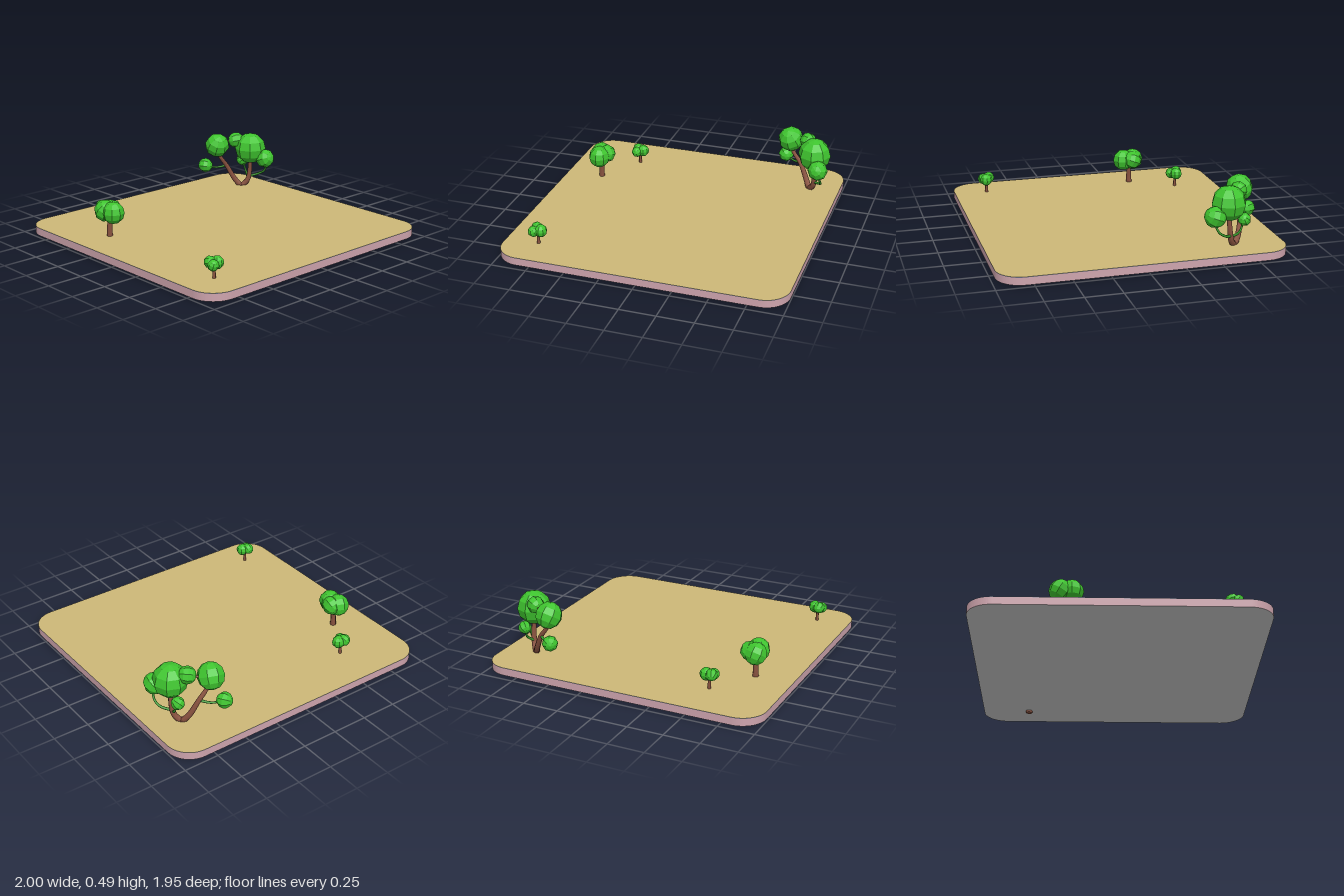
import * as THREE from 'three';

const material = (color, extra = {}) => new THREE.MeshStandardMaterial({ color, ...extra });

export function createModel() {
  const model = new THREE.Group();
  const leaf = material(0x3fc52f, { flatShading: true });
  const twigGreen = material(0x3a9a2c);
  const bark = material(0x8a5340);
  const sand = material(0xcdb878);
  const pink = material(0xcfa5ae);
  const rimBlue = material(0x7d8299);
  const grey = material(0xcccccc);

  const add = (parent, name, geometry, mat) => {
    const mesh = new THREE.Mesh(geometry, mat);
    mesh.name = name;
    parent.add(mesh);
    return mesh;
  };

  // Rounded ground outline, drawn in x and -z
  const W = 1, D = 0.975, R = 0.17;
  const outline = new THREE.Shape();
  outline.moveTo(-W + R, -D);
  outline.lineTo(W - R, -D);
  outline.absarc(W - R, -D + R, R, -Math.PI / 2, 0);
  outline.absarc(W - R, D - R, R, 0, Math.PI / 2);
  outline.absarc(-W + R, D - R, R, Math.PI / 2, Math.PI);
  outline.absarc(-W + R, -D + R, R, Math.PI, Math.PI * 1.5);

  const ground = new THREE.Group();
  ground.name = 'ground';
  model.add(ground);
  const layer = (name, y, height, capMat, sideMat) => {
    const g = new THREE.ExtrudeGeometry(outline, { depth: height, bevelEnabled: false, curveSegments: 12 });
    g.rotateX(-Math.PI / 2);
    g.translate(0, y, 0);
    add(ground, name, g, [capMat, sideMat]);
  };
  layer('slabEdge', 0.015, 0.051, grey, pink);
  layer('sandTop', 0.066, 0.004, sand, rimBlue);

  // Branch: a tube whose rings shrink from r0 to r1
  const branch = (parent, name, points, r0, r1, mat = bark) => {
    const curve = new THREE.CatmullRomCurve3(points.map(p => new THREE.Vector3(...p)));
    const rings = 10, sides = 7;
    const g = new THREE.TubeGeometry(curve, rings, r0, sides);
    const pos = g.attributes.position, v = new THREE.Vector3();
    for (let i = 0; i <= rings; i++) {
      const c = curve.getPointAt(i / rings);
      const k = THREE.MathUtils.lerp(1, r1 / r0, i / rings);
      for (let j = 0; j <= sides; j++) {
        const n = i * (sides + 1) + j;
        v.fromBufferAttribute(pos, n).sub(c).multiplyScalar(k).add(c);
        pos.setXYZ(n, v.x, v.y, v.z);
      }
    }
    add(parent, name, g, mat);
  };

  // Foliage: coarse balls, each turned a little differently
  const foliage = (parent, balls) => balls.forEach(([x, y, z, r], i) => {
    const ball = add(parent, 'foliage', new THREE.SphereGeometry(r, 8, 6), leaf);
    ball.position.set(x, y, z);
    ball.rotation.set(0.35 * i, 0.8 * i, 0.25 * i);
  });

  const tree = name => {
    const g = new THREE.Group();
    g.name = name;
    model.add(g);
    return g;
  };

  // Large forked tree, its root reaching through the slab
  const big = tree('forkedTree');
  const root = add(big, 'root', new THREE.CylinderGeometry(0.024, 0.024, 0.075, 8), bark);
  root.position.set(0.78, 0.0375, -0.64);
  branch(big, 'leftBranch', [[0.78, 0.06, -0.64], [0.745, 0.12, -0.68], [0.69, 0.23, -0.71], [0.63, 0.31, -0.72], [0.61, 0.38, -0.73]], 0.022, 0.012);
  branch(big, 'rightBranch', [[0.78, 0.06, -0.64], [0.815, 0.11, -0.605], [0.825, 0.2, -0.59], [0.82, 0.34, -0.58]], 0.022, 0.013);
  branch(big, 'topTwig', [[0.64, 0.38, -0.73], [0.7, 0.42, -0.71], [0.75, 0.43, -0.67]], 0.01, 0.008);
  branch(big, 'leftTwig', [[0.69, 0.23, -0.71], [0.63, 0.215, -0.76], [0.56, 0.23, -0.81]], 0.01, 0.006, twigGreen);
  branch(big, 'frontTwig', [[0.82, 0.14, -0.6], [0.88, 0.165, -0.54], [0.89, 0.2, -0.49], [0.87, 0.28, -0.46]], 0.01, 0.007, twigGreen);
  branch(big, 'backTwig', [[0.815, 0.13, -0.6], [0.84, 0.17, -0.65], [0.835, 0.24, -0.68]], 0.01, 0.006, twigGreen);
  foliage(big, [
    [0.82, 0.37, -0.58, 0.118], [0.61, 0.4, -0.73, 0.093], [0.87, 0.3, -0.47, 0.073],
    [0.56, 0.235, -0.81, 0.055], [0.75, 0.43, -0.67, 0.06], [0.835, 0.255, -0.685, 0.045],
  ]);

  // Round tree
  const round = tree('roundTree');
  branch(round, 'trunk', [[-0.735, 0.06, -0.355], [-0.735, 0.12, -0.355], [-0.73, 0.22, -0.35]], 0.022, 0.015);
  foliage(round, [[-0.735, 0.245, -0.31, 0.078], [-0.745, 0.245, -0.385, 0.078], [-0.7, 0.25, -0.37, 0.068]]);

  // Two small bushes on thin stems
  for (const [name, x, z, turn] of [['backBush', -0.54, -0.66, 0.3], ['frontBush', -0.765, 0.74, 0]]) {
    const bush = tree(name);
    bush.position.set(x, 0, z);
    bush.rotation.y = turn;
    branch(bush, 'stem', [[0, 0.06, 0], [0, 0.1, 0], [0, 0.16, 0]], 0.012, 0.009);
    foliage(bush, [[0.022, 0.17, 0.005, 0.044], [-0.025, 0.165, 0.02, 0.039], [-0.015, 0.175, -0.018, 0.042]]);
  }
  return model;
}
